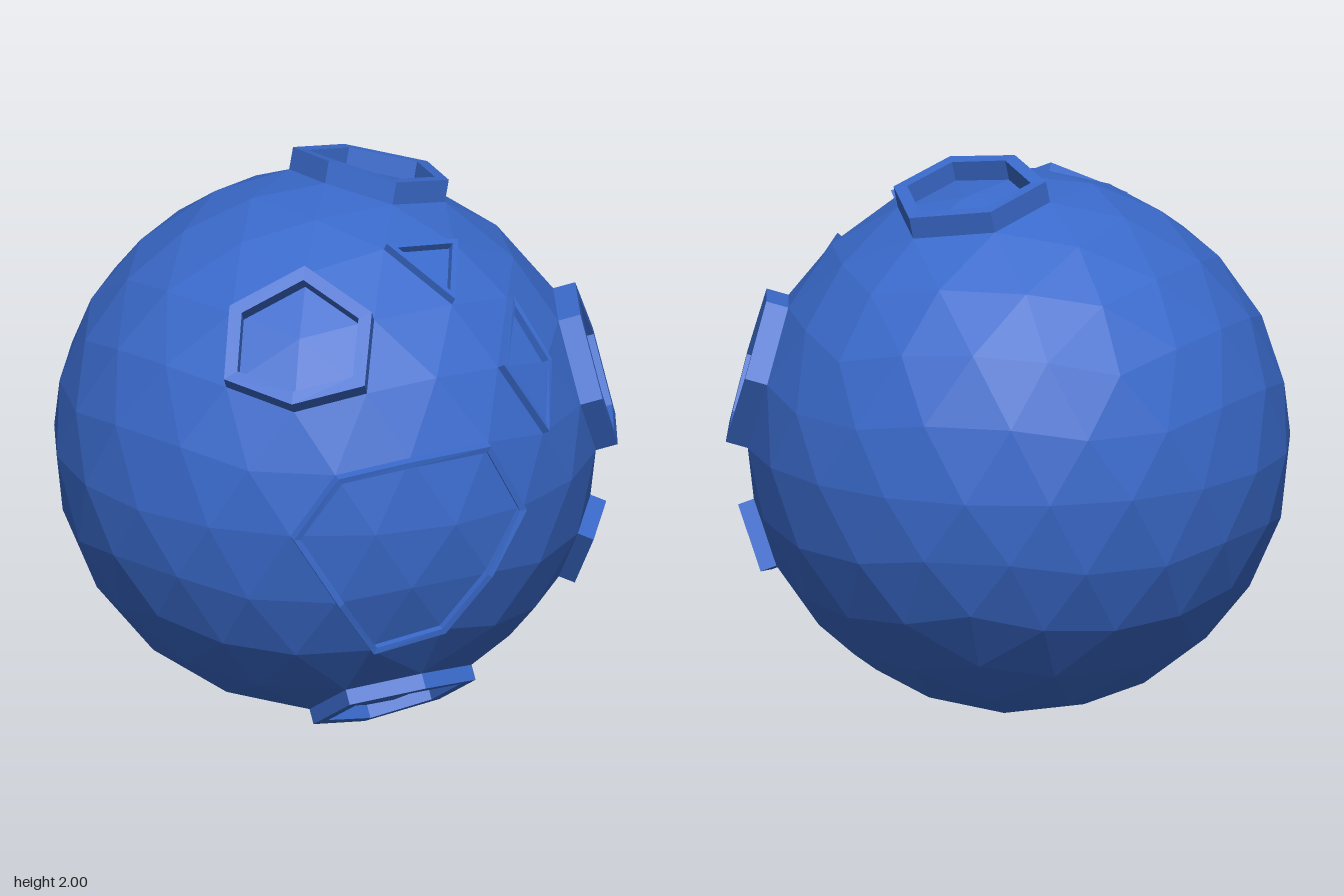
import * as THREE from 'three';

const RADIUS = 0.955;
const CENTER = new THREE.Vector3(0, 0.965, -0.02);
const V = (x, y, z) => new THREE.Vector3(x, y, z);

// Triangles of a unit icosphere with a vertex at each pole
function icosphere(levels) {
  const y = 1 / Math.sqrt(5), r = 2 * y;
  const top = V(0, 1, 0), bottom = V(0, -1, 0);
  const upper = k => V(r * Math.cos(k * Math.PI * 0.4), y, r * Math.sin(k * Math.PI * 0.4));
  const lower = k => V(r * Math.cos((k + 0.5) * Math.PI * 0.4), -y, r * Math.sin((k + 0.5) * Math.PI * 0.4));
  let faces = [];
  for (let k = 0; k < 5; k++) {
    faces.push([top, upper(k + 1), upper(k)], [upper(k), upper(k + 1), lower(k)],
      [upper(k + 1), lower(k + 1), lower(k)], [bottom, lower(k), lower(k + 1)]);
  }
  const mid = (a, b) => a.clone().add(b).normalize();
  for (let i = 0; i < levels; i++) {
    faces = faces.flatMap(([a, b, c]) => {
      const ab = mid(a, b), bc = mid(b, c), ca = mid(c, a);
      return [[a, ab, ca], [ab, b, bc], [ca, bc, c], [ab, bc, ca]];
    });
  }
  return faces;
}

function makeMesh(name, points, material) {
  const geometry = new THREE.BufferGeometry().setFromPoints(points);
  geometry.computeVertexNormals();
  const mesh = new THREE.Mesh(geometry, material);
  mesh.name = name;
  return mesh;
}

// Raised rim over an outline: outer wall, flat top, inner wall
function craterRim(outline, height, width) {
  const n = outline.length;
  const normal = outline.reduce((s, p) => s.add(p), V(0, 0, 0)).normalize();
  const base = outline.map(p => p.clone().multiplyScalar(RADIUS));
  const inward = base.map((p, i) =>
    normal.clone().cross(base[(i + 1) % n].clone().sub(p)).normalize());
  const outerTop = base.map(p => p.clone().addScaledVector(normal, height));
  const innerTop = outerTop.map((p, i) => {
    const a = inward[(i + n - 1) % n], b = inward[i];
    return p.clone().addScaledVector(a.clone().add(b), width / (1 + a.dot(b)));
  });
  const innerBase = innerTop.map(p => p.clone().addScaledVector(normal, -height - 0.02));
  const loops = [base, outerTop, innerTop, innerBase];
  const points = [];
  for (let l = 0; l < 3; l++) {
    for (let i = 0; i < n; i++) {
      const j = (i + 1) % n;
      const a = loops[l][i], b = loops[l][j], c = loops[l + 1][j], d = loops[l + 1][i];
      points.push(a, b, c, a, c, d);
    }
  }
  return points;
}

export function createModel() {
  const group = new THREE.Group();
  group.name = 'crateredMoon';
  const body = new THREE.Group();
  body.name = 'moon';
  body.position.copy(CENTER);
  group.add(body);
  const material = new THREE.MeshStandardMaterial({ color: 0x3a6acb, flatShading: true });

  // Faceted globe
  const faces = icosphere(2);
  const corners = faces.flat();
  body.add(makeMesh('globe', corners.map(p => p.clone().multiplyScalar(RADIUS)), material));

  // Helpers that find globe corners from x, y on the front half
  const snap = ([x, y]) => {
    const d = V(x, y, Math.sqrt(Math.max(0, 1 - x * x - y * y)));
    return corners.reduce((best, p) => (p.distanceTo(d) < best.distanceTo(d) ? p : best));
  };
  const hexAround = xy => {
    const c = snap(xy);
    const u = V(0, 0, 1).cross(c).normalize(), v = c.clone().cross(u);
    const unique = new Map();
    for (const p of corners) {
      const d = p.distanceTo(c);
      if (d > 0.1 && d < 0.42) unique.set(p.toArray().map(t => Math.round(t * 1000)).join(), p);
    }
    const angle = p => Math.atan2(p.dot(v), p.dot(u));
    return [...unique.values()].sort((a, b) => angle(a) - angle(b));
  };

  // Hexagonal craters: centre, rim height, rim width
  const hexes = [
    ['topCrater', [0.261, 0.962], 0.08, 0.045],
    ['upperRightCrater', [-0.597, 0.674], 0.08, 0.045],
    ['leftCrater', [0.671, 0.276], 0.08, 0.045],
    ['bottomCrater', [-0.162, -0.851], 0.055, 0.045],
  ];
  for (const [name, xy, height, width] of hexes) {
    body.add(makeMesh(name, craterRim(hexAround(xy), height, width), material));
  }

  // Other craters: outline counter-clockwise from the front
  const others = [
    ['triangleCrater', [[0.162, 0.851], [-0.138, 0.894], [-0.053, 0.724]], 0.03, 0.02],
    ['diamondCrater', [[0.276, 0.447], [0.228, 0.674], [0.007, 0.505], [0.143, 0.232]], 0.03, 0.018],
    ['lowerLeftCrater', [[0.724, -0.447], [0.682, -0.232], [0.447, -0.276], [0.513, -0.506]], 0.06, 0.03],
    ['largeCrater', [[0, 0], [-0.138, 0.276], [-0.447, 0.276], [-0.682, 0.232], [-0.809, 0],
      [-0.671, -0.276], [-0.501, -0.506], [-0.276, -0.447], [-0.143, -0.232]], 0.035, 0.022],
  ];
  for (const [name, outline, height, width] of others) {
    body.add(makeMesh(name, craterRim(outline.map(snap), height, width), material));
  }
  return group;
}
